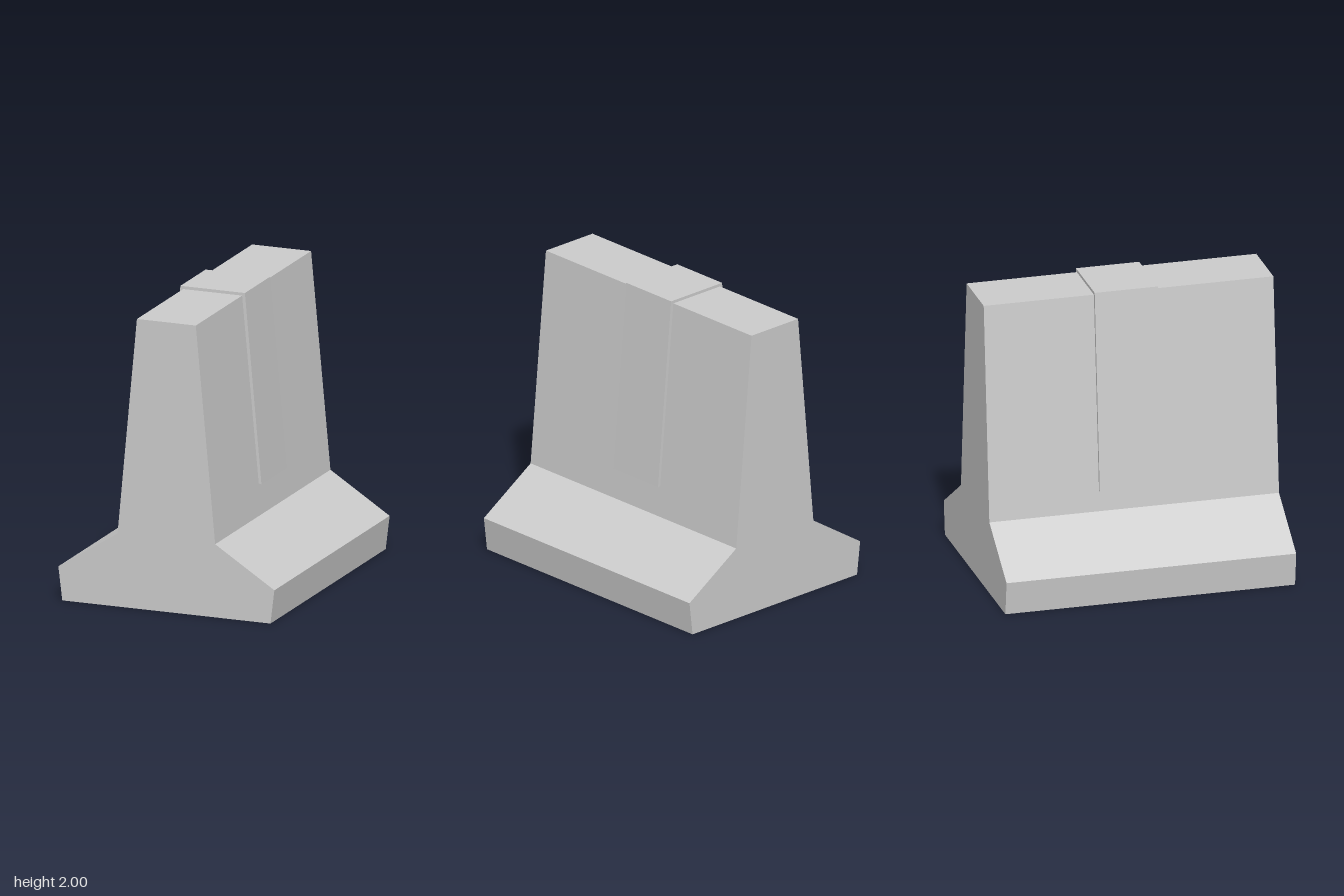
import * as THREE from 'three';

const material = new THREE.MeshStandardMaterial({ color: 0xcccccc, flatShading: true });

// Extrudes an x-y outline from z0 to z1
function prism(name, points, z0, z1) {
  const shape = new THREE.Shape(points.map(([x, y]) => new THREE.Vector2(x, y)));
  const geometry = new THREE.ExtrudeGeometry(shape, { depth: z1 - z0, bevelEnabled: false });
  geometry.translate(0, 0, z0);
  const mesh = new THREE.Mesh(geometry, material);
  mesh.name = name;
  return mesh;
}

export function createModel() {
  const group = new THREE.Group();
  group.name = 'roadBarrier';

  // Concrete barrier: flared foot and tapering wall
  const half = [[0.742, 0], [0.77, 0.23], [0.348, 0.5], [0.21, 1.98]];
  const mirrored = half.map(([x, y]) => [-x, y]).reverse();
  group.add(prism('barrierBody', [...half, ...mirrored], -0.99, 0.99));

  // Thin strap folded over the top, hanging lower on the right (-x) side
  group.add(prism('strap', [
    [0.348, 0.705], [0.23, 2], [-0.23, 2], [-0.355, 0.64],
    [-0.325, 0.645], [-0.2, 1.97], [0.2, 1.97], [0.32, 0.71],
  ], -0.237, 0.195));

  return group;
}
